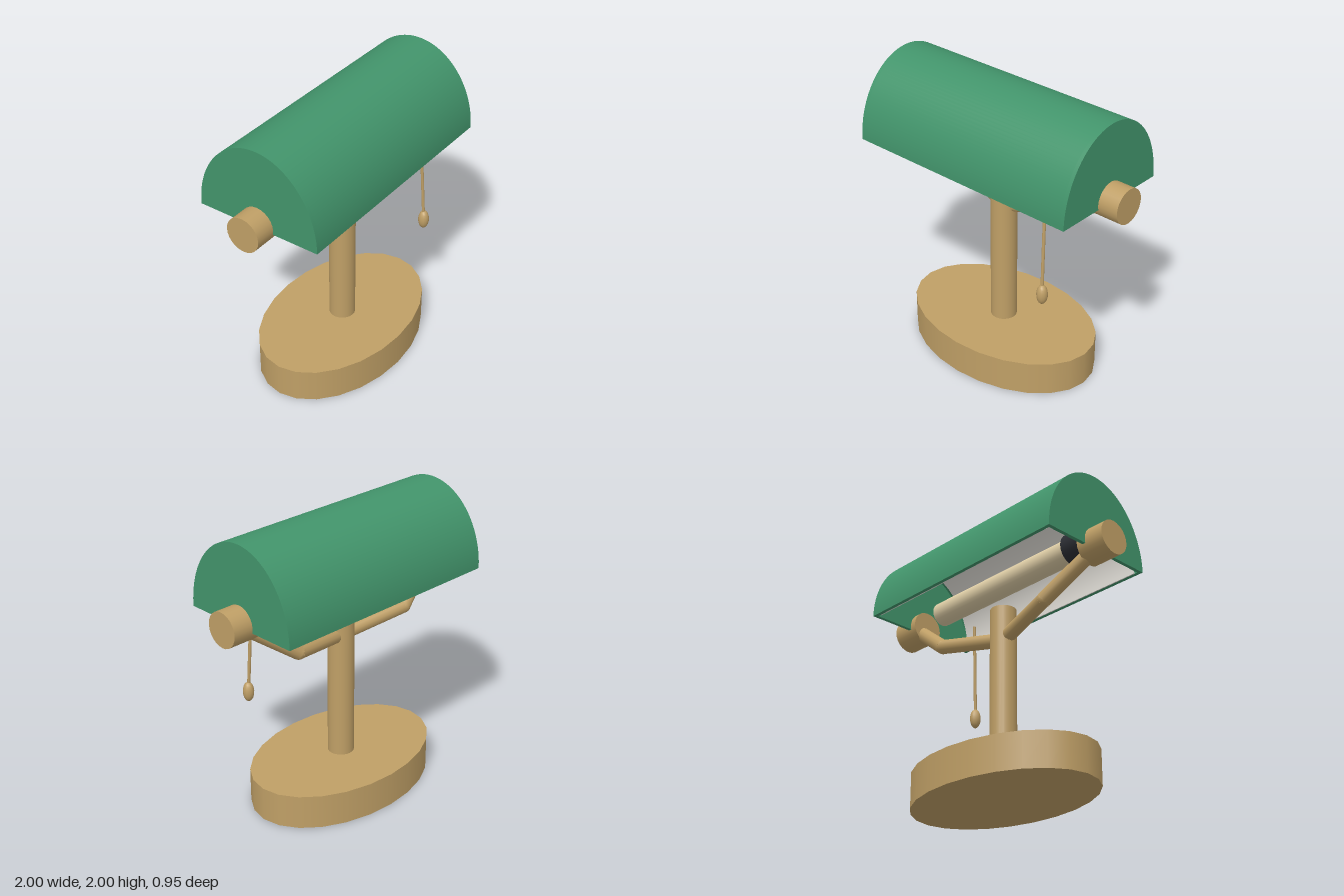
import * as THREE from 'three';
import { toCreasedNormals } from 'three/addons/utils/BufferGeometryUtils.js';

const V = (x, y, z) => new THREE.Vector3(x, y, z);

export function createModel() {
  const model = new THREE.Group();
  model.name = 'deskLamp';

  const paint = (name, color) => {
    const m = new THREE.MeshStandardMaterial({ color });
    m.name = name;
    return m;
  };
  const brass = paint('brass', 0xbf9f66);
  const green = paint('green enamel', 0x42946b);
  const white = paint('white lining', 0xe9e6df);
  const cream = paint('cream glass', 0xdccba4);
  const black = paint('black plastic', 0x2b2d33);

  const add = (name, geometry, material, parent = model) => {
    const mesh = new THREE.Mesh(geometry, material);
    mesh.name = name;
    parent.add(mesh);
    return mesh;
  };

  // Cylinder running between two points
  const rod = (name, a, b, r, material, parent = model, sides = 24) => {
    const mesh = add(name, new THREE.CylinderGeometry(r, r, a.distanceTo(b), sides), material, parent);
    mesh.position.copy(a).lerp(b, 0.5);
    mesh.quaternion.setFromUnitVectors(V(0, 1, 0), b.clone().sub(a).normalize());
    return mesh;
  };

  // Oval base and upright stem
  const base = add('base', new THREE.CylinderGeometry(1, 1, 0.24, 24), brass);
  base.scale.set(0.72, 1, 0.475);
  base.position.y = 0.12;
  rod('stem', V(0, 0.2, 0), V(0, 1.34, 0), 0.09, brass);

  // Bent arms and end knobs, mirrored
  for (const s of [-1, 1]) {
    const side = new THREE.Group();
    side.name = s > 0 ? 'leftArm' : 'rightArm';
    model.add(side);
    const elbow = V(s * 0.485, 1.2, -0.11);
    rod('lowerArm', V(0, 1.12, 0), elbow, 0.05, brass, side, 12);
    rod('upperArm', elbow, V(s * 0.88, 1.49, 0), 0.05, brass, side, 12);
    add('elbow', new THREE.SphereGeometry(0.05, 12, 8), brass, side).position.copy(elbow);
    rod('knob', V(s * 0.79, 1.49, 0), V(s, 1.49, 0), 0.118, brass, side);
  }

  // Shade: half-oval sections extruded along x
  const RIM = 1.46;
  const halfOval = (rz, ry, thickness = 0) => {
    const shape = new THREE.Shape();
    shape.absellipse(0, 0, rz, ry, 0, Math.PI, false, 0);
    if (thickness) {
      shape.lineTo(thickness - rz, 0);
      shape.absellipse(0, 0, rz - thickness, ry - thickness, Math.PI, 0, true, 0);
    }
    shape.closePath();
    return shape;
  };
  const extrudeX = (shape, x0, x1) => {
    const g = new THREE.ExtrudeGeometry(shape, { depth: x1 - x0, bevelEnabled: false, curveSegments: 32 });
    g.rotateY(Math.PI / 2);
    g.translate(x0, RIM, 0);
    return toCreasedNormals(g, 0.5);
  };
  const shade = new THREE.Group();
  shade.name = 'shade';
  model.add(shade);
  add('shadeShell', extrudeX(halfOval(0.44, 0.54, 0.025), -0.835, 0.835), green, shade);
  add('rightShadeEnd', extrudeX(halfOval(0.44, 0.54), -0.86, -0.835), green, shade);
  add('leftShadeEnd', extrudeX(halfOval(0.44, 0.54), 0.835, 0.86), green, shade);
  add('shadeLining', extrudeX(halfOval(0.415, 0.515, 0.008), -0.81, 0.81), white, shade);

  // Tube bulb and its socket
  rod('bulb', V(-0.7, 1.54, 0), V(0.63, 1.54, 0), 0.085, cream);
  rod('socket', V(-0.78, 1.54, 0), V(-0.64, 1.54, 0), 0.11, black);

  // Pull cord with an oval bob
  rod('pullCord', V(0.553, 1.5, 0.242), V(0.573, 0.84, 0.279), 0.011, brass, model, 8);
  const bob = add('pullBob', new THREE.SphereGeometry(1, 12, 10), brass);
  bob.scale.set(0.038, 0.07, 0.038);
  bob.position.set(0.575, 0.802, 0.28);

  return model;
}
